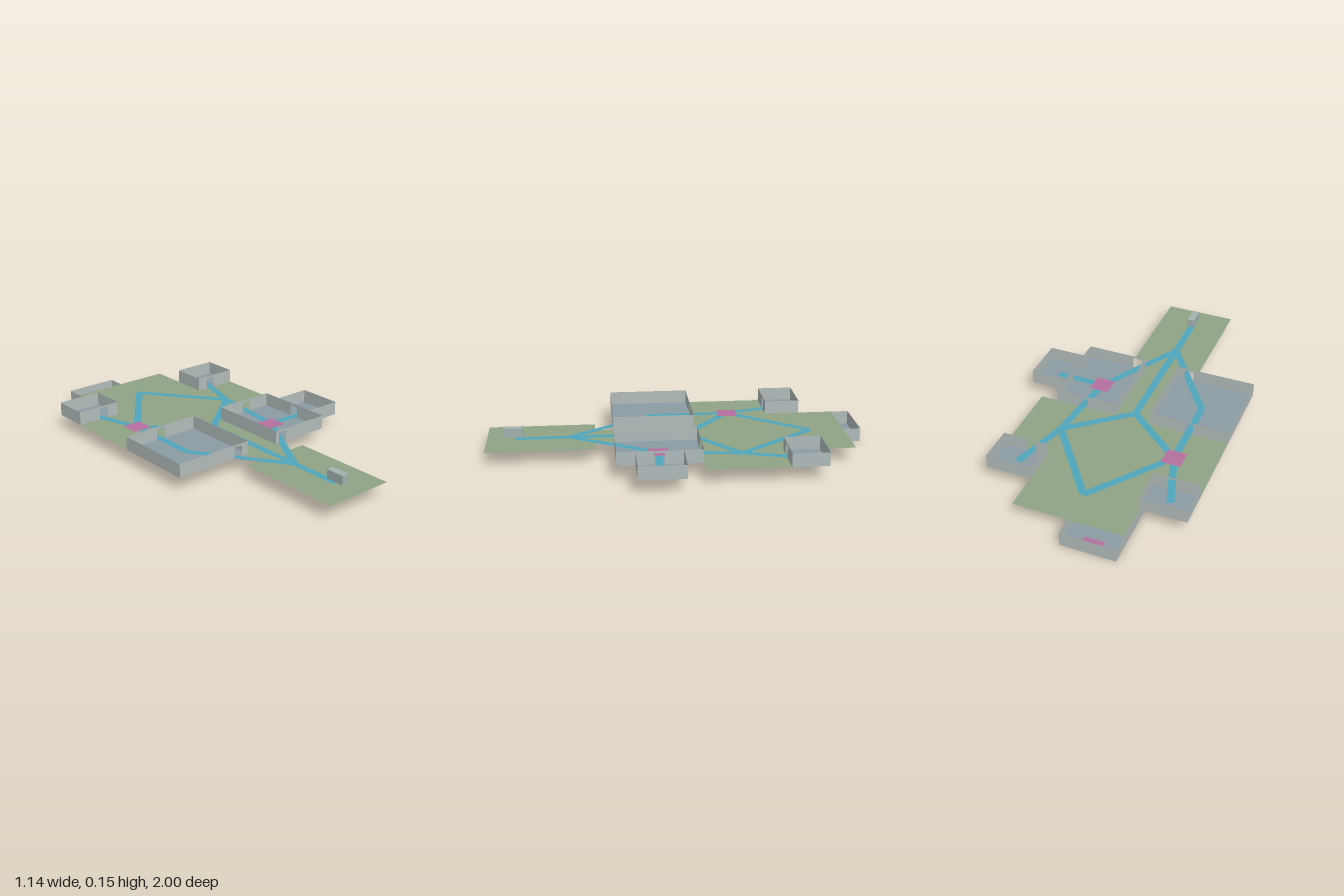
import * as THREE from 'three';

const mat = (color) => new THREE.MeshStandardMaterial({ color, side: THREE.DoubleSide });
const M = {
  ground: mat(0x8fa386), room: mat(0x8c9ba3), wall: mat(0xb2bcbc),
  path: mat(0x4fa6bb), pad: mat(0xb4709f), ramp: mat(0x6b4520), block: mat(0xa3b3b0),
};
const LEVEL = 0.075, WALL = 0.072;
const DOOR_W = 0.05, DOOR_H = 0.06;

export function createModel() {
  const model = new THREE.Group();
  const add = (geo, material, name, parent = model) => {
    const mesh = new THREE.Mesh(geo, material);
    mesh.name = name;
    parent.add(mesh);
    return mesh;
  };

  // Flat horizontal polygon from [x, z] corners
  const slab = (pts, y, material, name, parent) => {
    const shape = new THREE.Shape(pts.map(([x, z]) => new THREE.Vector2(x, -z)));
    const geo = new THREE.ShapeGeometry(shape).rotateX(-Math.PI / 2).translate(0, y, 0);
    return add(geo, material, name, parent);
  };
  const rect = (x0, x1, z0, z1) => [[x0, z0], [x0, z1], [x1, z1], [x1, z0]];

  // Thin upright wall between two corners, with an optional doorway
  // centred at a distance along the wall
  const wall = ([x0, z0], [x1, z1], y, h, door, parent) => {
    const len = Math.hypot(x1 - x0, z1 - z0);
    const s = new THREE.Shape();
    s.moveTo(0, 0);
    if (door !== undefined) {
      s.lineTo(door - DOOR_W / 2, 0);
      s.lineTo(door - DOOR_W / 2, DOOR_H);
      s.lineTo(door + DOOR_W / 2, DOOR_H);
      s.lineTo(door + DOOR_W / 2, 0);
    }
    s.lineTo(len, 0);
    s.lineTo(len, h);
    s.lineTo(0, h);
    const geo = new THREE.ShapeGeometry(s)
      .rotateY(-Math.atan2(z1 - z0, x1 - x0)).translate(x0, y, z0);
    add(geo, M.wall, 'wall', parent);
  };

  // Roofless room: floor plus a wall per side; doors maps side index to position
  const room = (name, pts, y, h, doors = {}) => {
    const g = new THREE.Group();
    g.name = name;
    model.add(g);
    slab(pts, y, M.room, 'roomFloor', g);
    pts.forEach((p, i) => wall(p, pts[(i + 1) % pts.length], y, h, doors[i], g));
  };

  // Open ground areas
  slab([[-0.335, -0.905], [-0.335, -0.525], [-0.575, -0.525], [-0.575, -0.1],
    [0.47, -0.1], [0.47, -0.525], [0.235, -0.525], [0.235, -0.905]], LEVEL, M.ground, 'backGround');
  slab(rect(-0.145, 0.045, -0.1, 0.43), LEVEL, M.ground, 'corridorFloor');
  slab(rect(-0.24, 0.14, 0.43, 1), LEVEL, M.ground, 'frontGround');

  // Rooms; sides run 0 = -x, 1 = front, 2 = +x, 3 = back (from +x)
  room('backRightRoom', rect(-0.575, -0.335, -0.715, -0.525), LEVEL, WALL, { 1: 0.15 });
  room('backLeftRoom', rect(0.235, 0.47, -0.715, -0.525), LEVEL, WALL, { 1: 0.085 });
  room('largeRoom', rect(-0.575, -0.145, -0.1, 0.335), LEVEL, WALL, { 1: 0.365, 3: 0.215 });
  room('middleRoom', rect(0.045, 0.375, -0.1, 0.335), LEVEL, WALL, { 1: 0.045, 2: 0.215, 3: 0.15 });
  room('sideRoom', rect(0.375, 0.57, 0, 0.24), LEVEL, WALL, { 0: 0.12 });
  room('lowerRoom', [[-0.335, -1], [-0.335, -0.525], [0.235, -0.525], [0.235, -0.715],
    [-0.05, -0.715], [-0.05, -1]], 0, LEVEL);

  // Flat strip between two [x, y, z] points
  const strip = (a, b, width, material, name) => {
    const dx = b[0] - a[0], dz = b[2] - a[2], l = Math.hypot(dx, dz);
    const nx = -dz / l * width / 2, nz = dx / l * width / 2;
    const geo = new THREE.BufferGeometry();
    geo.setAttribute('position', new THREE.Float32BufferAttribute([
      a[0] + nx, a[1], a[2] + nz, b[0] + nx, b[1], b[2] + nz,
      b[0] - nx, b[1], b[2] - nz, a[0] - nx, a[1], a[2] - nz], 3));
    geo.setIndex([0, 1, 2, 0, 2, 3]);
    geo.computeVertexNormals();
    add(geo, material, name);
  };

  // Walking routes between area centres
  const P = LEVEL + 0.0008;
  const start = [-0.05, 0.85], fork = [-0.05, 0.57], hub = [-0.05, -0.05];
  const large = [-0.36, 0.115], middle = [0.21, 0.115], side = [0.47, 0.12];
  const west = [-0.36, -0.31], east = [0.26, -0.31], north = [-0.05, -0.72];
  const cornerR = [-0.455, -0.62], cornerL = [0.35, -0.62];
  [[start, fork], [fork, hub], [fork, large], [fork, middle], [middle, side],
    [large, west], [middle, east], [hub, west], [hub, east], [west, north], [east, north],
    [west, cornerR], [east, cornerL]].forEach(([a, b]) =>
    strip([a[0], P, a[1]], [b[0], P, b[1]], 0.038, M.path, 'path'));

  // Ramps from the corner rooms down to the lower room
  for (const x of [-0.455, 0.355]) {
    strip([x, LEVEL - 0.001, -0.617], [-0.05, 0.001, -0.617], 0.04, M.ramp, 'ramp');
  }

  // Marker pads
  [[-0.36, LEVEL, -0.31], [0.21, LEVEL, 0.115], [-0.19, 0, -0.95]].forEach(([x, y, z]) => {
    const d = y ? 0.052 : 0.042;
    slab(rect(x - 0.052, x + 0.052, z - d, z + d), y + 0.0015, M.pad, 'markerPad');
  });

  // Hovering start block
  add(new THREE.BoxGeometry(0.04, 0.048, 0.1), M.block, 'startBlock').position.set(-0.05, 0.114, 0.86);

  return model;
}
